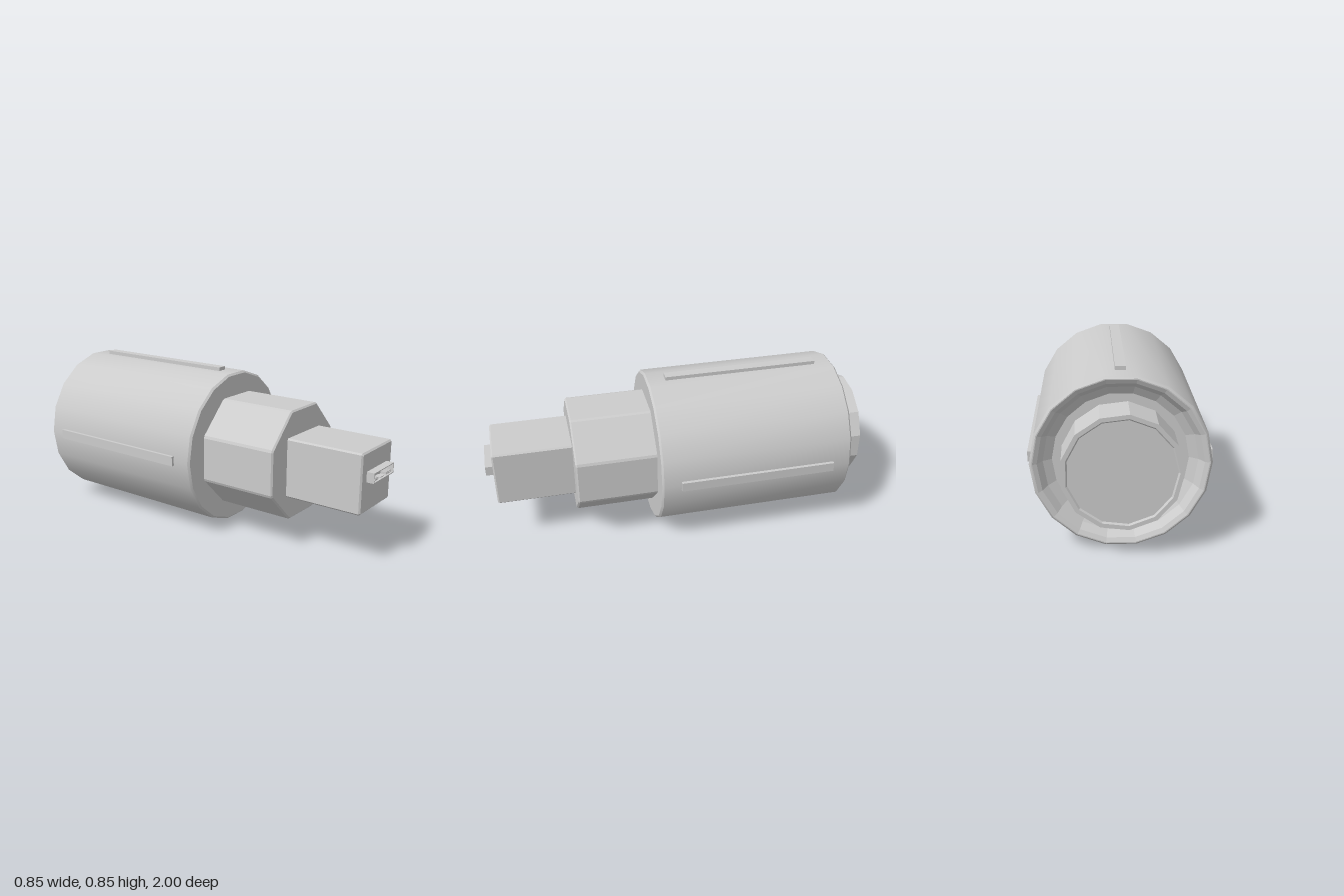
import * as THREE from 'three';
import { toCreasedNormals } from 'three/addons/utils/BufferGeometryUtils.js';

const CY = 0.4225; // height of the long axis

export function createModel() {
  const model = new THREE.Group();
  model.name = 'adapter';
  const flat = new THREE.MeshStandardMaterial({ color: 0xcccccc, flatShading: true });
  const smooth = new THREE.MeshStandardMaterial({ color: 0xcccccc });

  const axis = new THREE.Group();
  axis.name = 'parts';
  axis.position.y = CY;
  model.add(axis);

  function add(name, geometry, material = flat, x = 0, y = 0, z = 0) {
    const mesh = new THREE.Mesh(geometry, material);
    mesh.name = name;
    mesh.position.set(x, y, z);
    axis.add(mesh);
    return mesh;
  }
  const box = (name, w, h, d, x, y, z) => add(name, new THREE.BoxGeometry(w, h, d), flat, x, y, z);

  // Turned part around z; profile is [radius, z] from back to front
  function turned(profile, sides, start) {
    const points = profile.map(([r, z]) => new THREE.Vector2(r, z));
    return new THREE.LatheGeometry(points, sides, start).rotateX(Math.PI / 2);
  }

  // Polygon prism with chamfered corners and a chamfered front and back rim
  function prism(sides, apothem, cut, z0, z1) {
    const R = apothem / Math.cos(Math.PI / sides);
    const corner = (i) => {
      const a = ((i + 0.5) / sides) * Math.PI * 2;
      return new THREE.Vector2(Math.cos(a) * R, Math.sin(a) * R);
    };
    const points = [];
    for (let i = 0; i < sides; i++) {
      const c = corner(i);
      for (const n of [corner(i - 1), corner(i + 1)]) {
        points.push(c.clone().add(n.sub(c).setLength(cut)));
      }
    }
    const b = 0.008;
    return new THREE.ExtrudeGeometry(new THREE.Shape(points), {
      depth: z1 - z0 - 2 * b, bevelEnabled: true, bevelThickness: b,
      bevelSize: b, bevelOffset: -b, bevelSegments: 1,
    }).translate(0, 0, z0 + b);
  }

  // Main barrel: smooth sides, chamfered rims
  const barrel = turned([
    [0.395, -0.89], [0.4, -0.89], [0.41, -0.88], [0.41, 0.12], [0.4, 0.13], [0, 0.13],
  ], 18, Math.PI / 2);
  add('barrel', toCreasedNormals(barrel, Math.PI / 6), smooth);

  // Dished groove in the back of the barrel
  add('backGroove', turned([
    [0.25, -0.82], [0.31, -0.82], [0.35, -0.845], [0.375, -0.88], [0.395, -0.89],
  ], 18, Math.PI / 2));

  // Back button with a shallow rimmed face
  add('backButton', turned([
    [0, -0.992], [0.245, -0.992], [0.252, -1], [0.272, -1], [0.272, -0.81],
  ], 13, -Math.PI / 2));

  // Stepped neck
  add('octagonCollar', prism(8, 0.285, 0.008, 0.12, 0.55));
  add('squareNeck', prism(4, 0.154, 0.008, 0.54, 0.96));

  // Four raised ribs along the barrel
  for (let i = 0; i < 4; i++) {
    const a = (i * Math.PI) / 2;
    const r = 0.4025;
    const rib = box('rib' + (i + 1), 0.04, 0.05, 0.82, Math.cos(a) * r, Math.sin(a) * r, -0.38);
    rib.rotation.z = a;
  }

  // Hollow plug shell
  const w = 0.104, y0 = 0.003, y1 = 0.055, t = 0.004;
  const rect = (C, inset) => new C([
    new THREE.Vector2(-w + inset, y0 + inset), new THREE.Vector2(w - inset, y0 + inset),
    new THREE.Vector2(w - inset, y1 - inset), new THREE.Vector2(-w + inset, y1 - inset),
  ]);
  const shell = rect(THREE.Shape, 0);
  shell.holes.push(rect(THREE.Path, t));
  add('plugShell', new THREE.ExtrudeGeometry(shell, { depth: 0.045, bevelEnabled: false }), flat, 0, 0, 0.955);

  // Contacts standing on the plug floor
  for (const s of [-1, 1]) {
    box('contactBase', 0.05, 0.004, 0.03, s * 0.066, 0.008, 0.975);
    for (let i = 0; i < 4; i++) {
      box('contact', 0.006, 0.014, 0.03, s * (0.045 + i * 0.0145), 0.013, 0.975);
    }
  }
  box('centreTab', 0.035, 0.004, 0.03, 0, 0.009, 0.975);

  return model;
}
